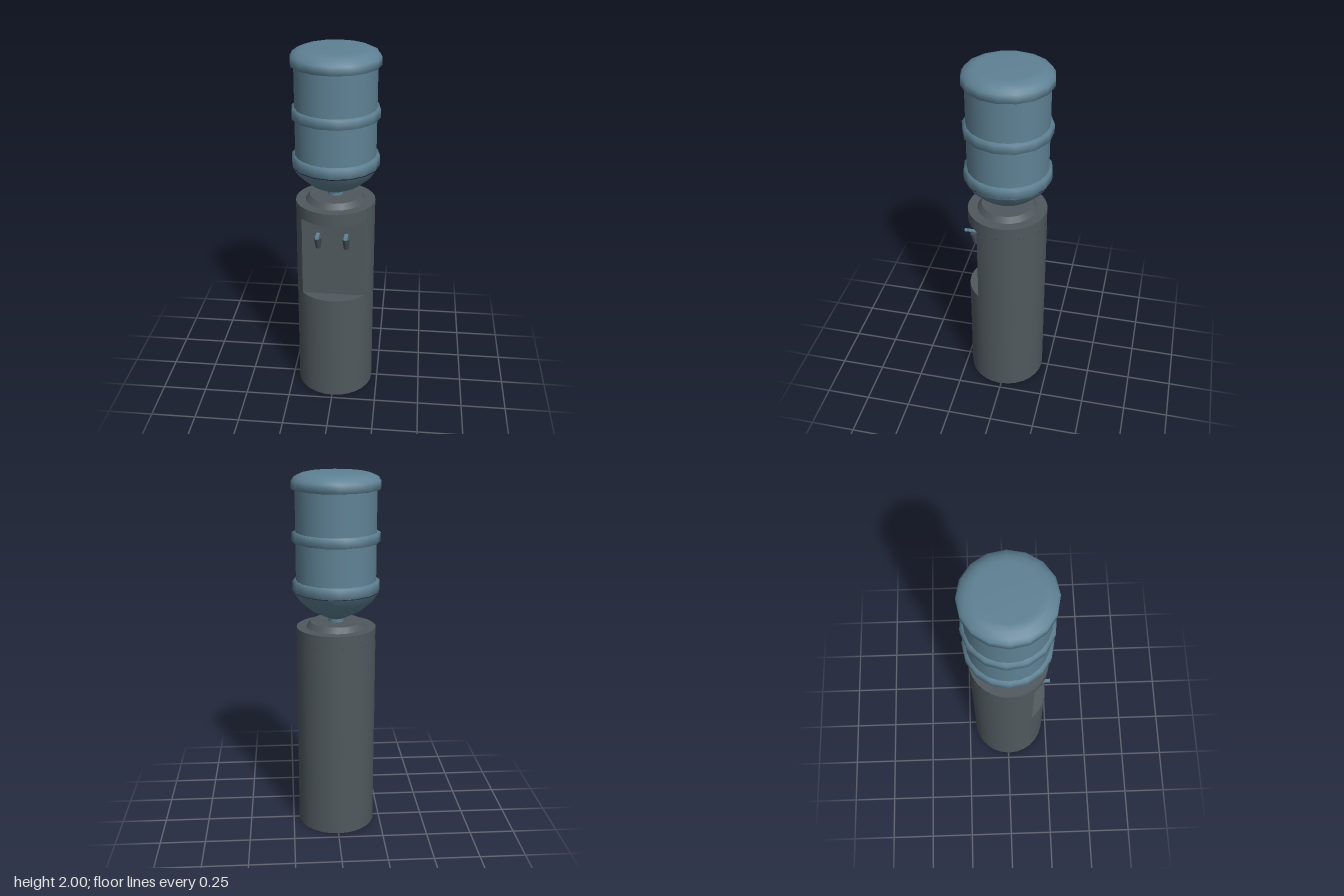
import * as THREE from 'three';

const mat = (name, color, side = THREE.FrontSide) => {
  const m = new THREE.MeshStandardMaterial({ color, side });
  m.name = name;
  return m;
};

export function createModel() {
  const model = new THREE.Group();
  model.name = 'waterCooler';
  const grey = mat('cabinetGrey', 0x50595e);
  const dark = mat('tapGrey', 0x464f54);
  const blue = mat('bottleBlue', 0x5f8295);
  const Z = 0.007, R = 0.217, SIDES = 28;

  const add = (name, geometry, material, x = 0, y = 0, z = 0, parent = model) => {
    const mesh = new THREE.Mesh(geometry, material);
    mesh.name = name;
    mesh.position.set(x, y, z);
    parent.add(mesh);
    return mesh;
  };
  // Upright cylinder between two heights
  const drum = (name, rTop, rBottom, y0, y1, material, sides = SIDES) =>
    add(name, new THREE.CylinderGeometry(rTop, rBottom, y1 - y0, sides), material, 0, (y0 + y1) / 2, Z);

  // Cabinet, with a flat dispensing recess cut into its front
  const recessZ = 0.14, low = 0.64, high = 1.1;
  drum('cabinetBase', R, R, 0, low, grey);
  drum('cabinetTop', R, R, high, 1.17, grey);
  const a = Math.acos((recessZ - Z) / R);
  add('cabinetBack', new THREE.CylinderGeometry(R, R, high - low, SIDES, 1, true, a, 2 * (Math.PI - a)),
    grey, 0, (low + high) / 2, Z);
  add('recessPanel', new THREE.PlaneGeometry(2 * R * Math.sin(a), high - low), grey, 0, (low + high) / 2, recessZ);
  drum('bottleSeat', 0.142, 0.164, 1.17, 1.2, grey, 20);

  // Bottle shell: neck, shoulder, straight wall and domed end
  const lathe = (name, points, sides, turn = 0) => {
    const geo = new THREE.LatheGeometry(points.map(p => new THREE.Vector2(...p)), sides);
    add(name, geo, blue, 0, 0, 0.004).rotation.y = turn;
  };
  lathe('bottleNeck', [[0.042, 1.18], [0.042, 1.24]], 14);
  lathe('bottleShoulder', [[0.04, 1.218], [0.07, 1.232], [0.14, 1.268], [0.205, 1.325], [0.234, 1.37]], 16);
  lathe('bottleWall', [[0.217, 1.37], [0.217, 1.95]], 24);
  lathe('bottleEnd', [[0.235, 1.955], [0.222, 1.977], [0.19, 1.992], [0.155, 2], [0, 2]], 16);

  // Raised ribs around the bottle
  const rib = (name, y0, y1, sides, turn) => lathe(name,
    [[0.212, y0 - 0.006], [0.236, y0], [0.236, y1], [0.212, y1 + 0.006]], sides, turn);
  rib('lowerRib', 1.375, 1.428, 16, 0);
  rib('middleRib', 1.64, 1.688, 14, 0.15);
  rib('upperRib', 1.915, 1.957, 16, 0);

  // Pair of taps
  for (const [name, x] of [['rightTap', -0.079], ['leftTap', 0.074]]) {
    const tap = new THREE.Group();
    tap.name = name;
    tap.position.set(x, 0, 0);
    model.add(tap);
    const pipe = add('pipe', new THREE.CylinderGeometry(0.015, 0.015, 0.05, 10), dark, 0, 0.992, 0.16, tap);
    pipe.rotation.x = Math.PI / 2;
    const spout = add('spout', new THREE.CylinderGeometry(0.022, 0.014, 0.07, 10), dark, 0, 0.981, 0.174, tap);
    spout.rotation.x = 0.18;
    add('stem', new THREE.CylinderGeometry(0.008, 0.012, 0.02, 8), dark, 0, 1.018, 0.18, tap);
    add('lever', new THREE.BoxGeometry(0.02, 0.007, 0.07), blue, 0, 1.028, 0.198, tap);
  }
  return model;
}
